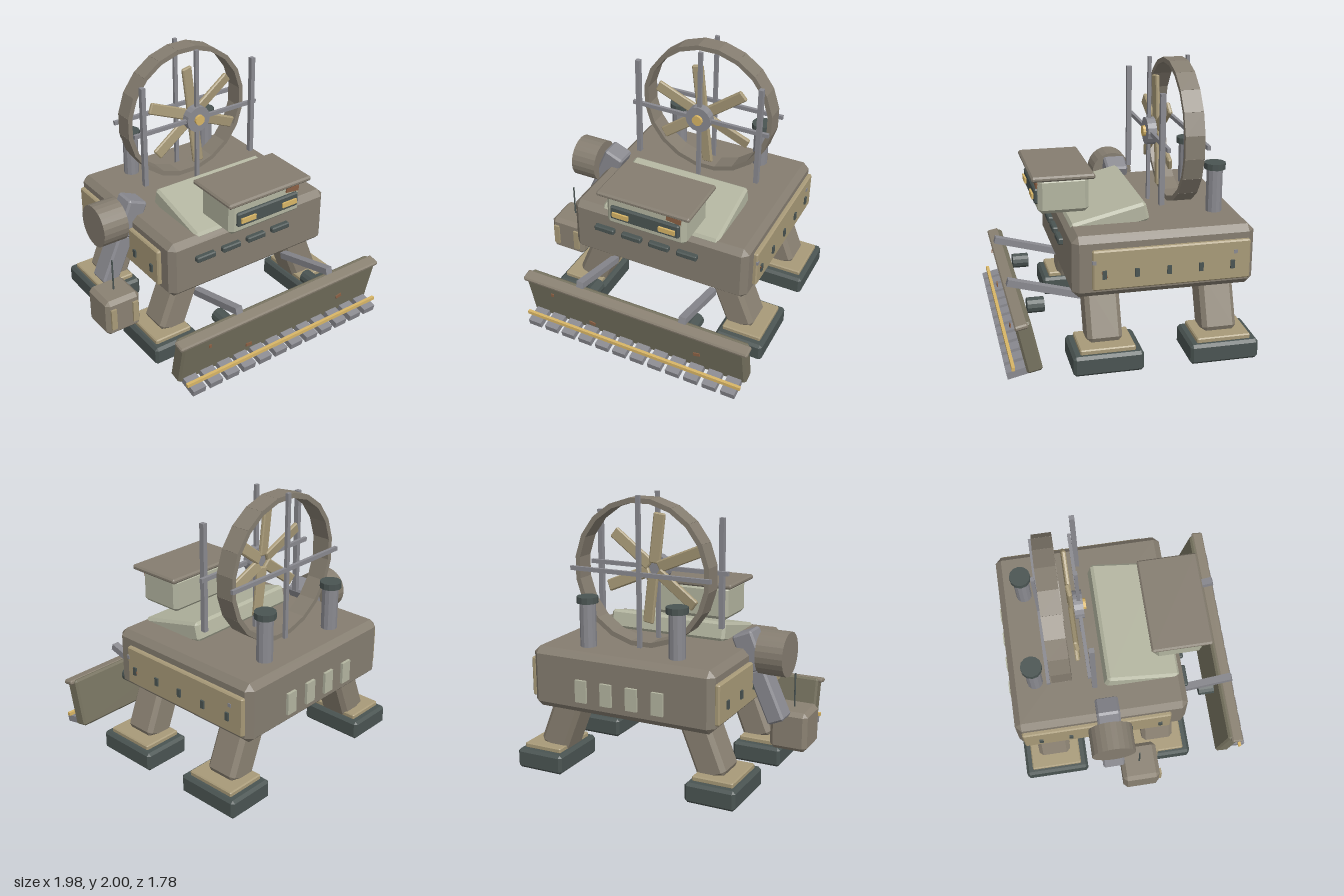
import * as THREE from 'three';
import { ConvexGeometry } from 'three/addons/geometries/ConvexGeometry.js';

const mat = (color) => new THREE.MeshStandardMaterial({ color, flatShading: true });
const M = {
  hull: mat(0x857d70), leg: mat(0x8a8172), plow: mat(0x76725f), tan: mat(0xa89a78), pale: mat(0xb3b5a0),
  dark: mat(0x4a5452), steel: mat(0x8a8a90), lamp: mat(0xd8b566), rust: mat(0x8a6044),
};
const CX = 0.09; // the hull's centre line

// Box with every edge cut at 45 degrees
function chamferBox(w, h, d, c) {
  const pts = [];
  for (const x of [-1, 1]) for (const y of [-1, 1]) for (const z of [-1, 1]) {
    const a = w / 2, b = h / 2, e = d / 2;
    pts.push(
      new THREE.Vector3(x * a, y * (b - c), z * (e - c)),
      new THREE.Vector3(x * (a - c), y * b, z * (e - c)),
      new THREE.Vector3(x * (a - c), y * (b - c), z * e));
  }
  return new ConvexGeometry(pts);
}

export function createModel() {
  const root = new THREE.Group();
  root.name = 'walkingPlow';

  const add = (name, geo, material, x, y, z, parent = root) => {
    const m = new THREE.Mesh(geo, material);
    m.name = name;
    m.position.set(x, y, z);
    parent.add(m);
    return m;
  };
  // Box given by its limits, chamfered when c > 0
  const box = (name, material, [x0, x1], [y0, y1], [z0, z1], c = 0, parent = root) => {
    const s = [x1 - x0, y1 - y0, z1 - z0];
    const geo = c ? chamferBox(...s, c) : new THREE.BoxGeometry(...s);
    return add(name, geo, material, (x0 + x1) / 2, (y0 + y1) / 2, (z0 + z1) / 2, parent);
  };
  const cyl = (name, material, r, len, x, y, z, axis = 'y', sides = 16, parent = root) => {
    const geo = new THREE.CylinderGeometry(r, r, len, sides);
    if (axis === 'x') geo.rotateZ(Math.PI / 2);
    if (axis === 'z') geo.rotateX(Math.PI / 2);
    return add(name, geo, material, x, y, z, parent);
  };

  // Hull, side panels with bolts, vents
  box('hull', M.hull, [-0.61, 0.79], [0.5, 0.94], [-0.87, 0.41], 0.045);
  for (const s of [-1, 1]) {
    const px = CX + s * 0.71;
    box('sidePanel', M.tan, [px - 0.02, px + 0.02], [0.565, 0.85], [-0.83, 0.28], 0.01);
    for (let i = 0; i < 5; i++) {
      const z = 0.2 - i * 0.225;
      box('panelBolt', M.dark, [px + s * 0.02 - 0.012, px + s * 0.02 + 0.012], [0.65, 0.71], [z - 0.015, z + 0.015]);
    }
  }
  for (const z of [0.27, -0.72]) box('panelStud', M.steel, [0.81, 0.825], [0.757, 0.783], [z - 0.013, z + 0.013]);
  add('rustPatch', new THREE.BoxGeometry(0.015, 0.05, 0.03), M.rust, 0.82, 0.68, 0.2).rotation.x = 0.3;
  for (let i = 0; i < 4; i++) {
    const x = -0.33 + i * 0.223;
    box('frontVent', M.dark, [x - 0.08, x + 0.08], [0.757, 0.802], [0.4, 0.447], 0.008);
    const bx = -0.21 + i * 0.198;
    box('rearVent', M.pale, [bx - 0.043, bx + 0.043], [0.59, 0.75], [-0.89, -0.865]);
  }

  // Sloping hood and cab
  add('hood', chamferBox(0.93, 0.14, 0.55, 0.02), M.pale, CX, 0.945, 0.1).rotation.x = 0.235;
  box('cab', M.pale, [-0.225, 0.395], [0.98, 1.24], [0.215, 0.575], 0.03);
  box('cabRoof', M.hull, [-0.27, 0.445], [1.232, 1.27], [0.18, 0.625], 0.012);
  box('windscreen', M.dark, [-0.178, 0.355], [1.048, 1.157], [0.565, 0.598], 0.01);
  box('headlamp', M.lamp, [-0.155, -0.03], [1.08, 1.117], [0.59, 0.612]);
  box('headlamp', M.lamp, [0.205, 0.33], [1.08, 1.117], [0.59, 0.612]);
  add('rustPatch', new THREE.BoxGeometry(0.11, 0.04, 0.012), M.rust, 0.31, 1.19, 0.58).rotation.z = -0.12;

  // Exhaust stacks
  for (const x of [-0.26, 0.435]) {
    cyl('exhaustStack', M.steel, 0.058, 0.34, x, 1.09, -0.68, 'y', 12);
    cyl('exhaustCap', M.dark, 0.077, 0.045, x, 1.275, -0.68, 'y', 12);
  }

  // Fan: ring of plates, blades, hub and guard bars
  const fan = new THREE.Group();
  fan.name = 'fan';
  fan.position.set(CX, 1.46, 0);
  root.add(fan);
  for (let i = 0; i < 20; i++) {
    const a = (i / 20) * Math.PI * 2;
    const plate = add('ringPlate', new THREE.BoxGeometry(0.035, 0.163, 0.14), M.hull,
      0.5 * Math.cos(a), 0.5 * Math.sin(a), -0.477, fan);
    plate.rotation.z = a;
  }
  for (let i = 0; i < 6; i++) {
    const blade = new THREE.Group();
    blade.name = 'fanBlade';
    blade.rotation.z = THREE.MathUtils.degToRad(97 + i * 60);
    fan.add(blade);
    add('bladePlate', chamferBox(0.36, 0.085, 0.03, 0.008), M.tan, 0.22, 0, -0.345, blade).rotation.x = 0.12;
  }
  cyl('fanHub', M.steel, 0.1, 0.065, 0, 0, -0.29, 'z', 16, fan);
  cyl('hubCap', M.lamp, 0.04, 0.05, 0, 0, -0.262, 'z', 12, fan);
  for (const z of [-0.285, -0.567]) {
    box('guardBar', M.steel, [-0.015, 0.015], [-0.54, 0.54], [z - 0.012, z + 0.012], 0, fan);
    box('guardBar', M.steel, [-0.545, 0.545], [-0.015, 0.015], [z - 0.012, z + 0.012], 0, fan);
  }
  for (const x of [-0.483, 0.483])
    box('guardPost', M.steel, [x - 0.017, x + 0.017], [-0.4, 0.38], [-0.272, -0.235], 0, fan);

  // Four splayed legs with feet
  for (const s of [-1, 1]) for (const z of [0.193, -0.627]) {
    const leg = new THREE.Group();
    leg.name = z > 0 ? 'frontLeg' : 'rearLeg';
    leg.position.set(CX, 0, z);
    root.add(leg);
    add('legBeam', chamferBox(0.22, 0.42, 0.245, 0.03), M.leg, s * 0.565, 0.34, 0, leg).rotation.z = s * 0.38;
    add('footPlate', chamferBox(0.3, 0.04, 0.385, 0.008), M.tan, s * 0.675, 0.16, 0, leg);
    add('foot', chamferBox(0.37, 0.145, 0.49, 0.02), M.dark, s * 0.675, 0.0725, 0, leg);
  }

  // Plow blade leaning forward, with rim, wear strip and teeth
  const plow = new THREE.Group();
  plow.name = 'plow';
  plow.position.set(0.087, 0.265, 0.738);
  plow.rotation.x = 0.21;
  root.add(plow);
  add('plowBlade', chamferBox(1.755, 0.37, 0.11, 0.015), M.plow, 0, 0, 0, plow);
  add('plowRim', chamferBox(1.805, 0.035, 0.09, 0.01), M.leg, 0, 0.172, 0.014, plow);
  box('wearStrip', M.lamp, [-0.785, 0.96], [0.108, 0.134], [0.835, 0.858]);
  for (let i = 0; i < 12; i++)
    add('plowTooth', new THREE.BoxGeometry(0.105, 0.05, 0.15), M.steel, -0.707 + i * 0.1445, 0.077, 0.815)
      .rotation.x = 0.22;
  for (const [x, y, w, r] of [[-0.235, 0.21, 0.05, -0.1], [0.61, 0.272, 0.05, 0.2], [-0.57, 0.35, 0.02, 0]])
    add('rustPatch', new THREE.BoxGeometry(w, 0.024, 0.008), M.rust, x, y, 0.822).rotation.z = r;

  // Push arms and rams
  for (const x of [-0.325, 0.495]) {
    add('pushArm', new THREE.BoxGeometry(0.055, 0.05, 0.54), M.steel, x, 0.475, 0.56).rotation.x = -0.27;
    cyl('ram', M.dark, 0.055, 0.12, x, 0.355, 0.628, 'z', 12);
  }

  // Side arm with drum and hanging tool box
  const arm = new THREE.Group();
  arm.name = 'sideArm';
  root.add(arm);
  add('upperArm', chamferBox(0.16, 0.29, 0.17, 0.015), M.steel, -0.6, 0.91, -0.185, arm).rotation.z = -0.4;
  add('lowerArm', chamferBox(0.13, 0.4, 0.165, 0.015), M.steel, -0.735, 0.61, -0.185, arm).rotation.z = -0.42;
  cyl('drum', M.hull, 0.16, 0.2, -0.78, 0.915, -0.185, 'x', 24, arm);
  box('toolBox', M.leg, [-0.995, -0.715], [0.178, 0.47], [-0.13, 0.152], 0.03, arm);
  for (const x of [-0.945, -0.765]) box('toolSlat', M.tan, [x - 0.022, x + 0.022], [0.24, 0.41], [0.145, 0.168], 0, arm);
  cyl('aerial', M.dark, 0.006, 0.26, -0.855, 0.59, 0.01, 'y', 6, arm);

  return root;
}
